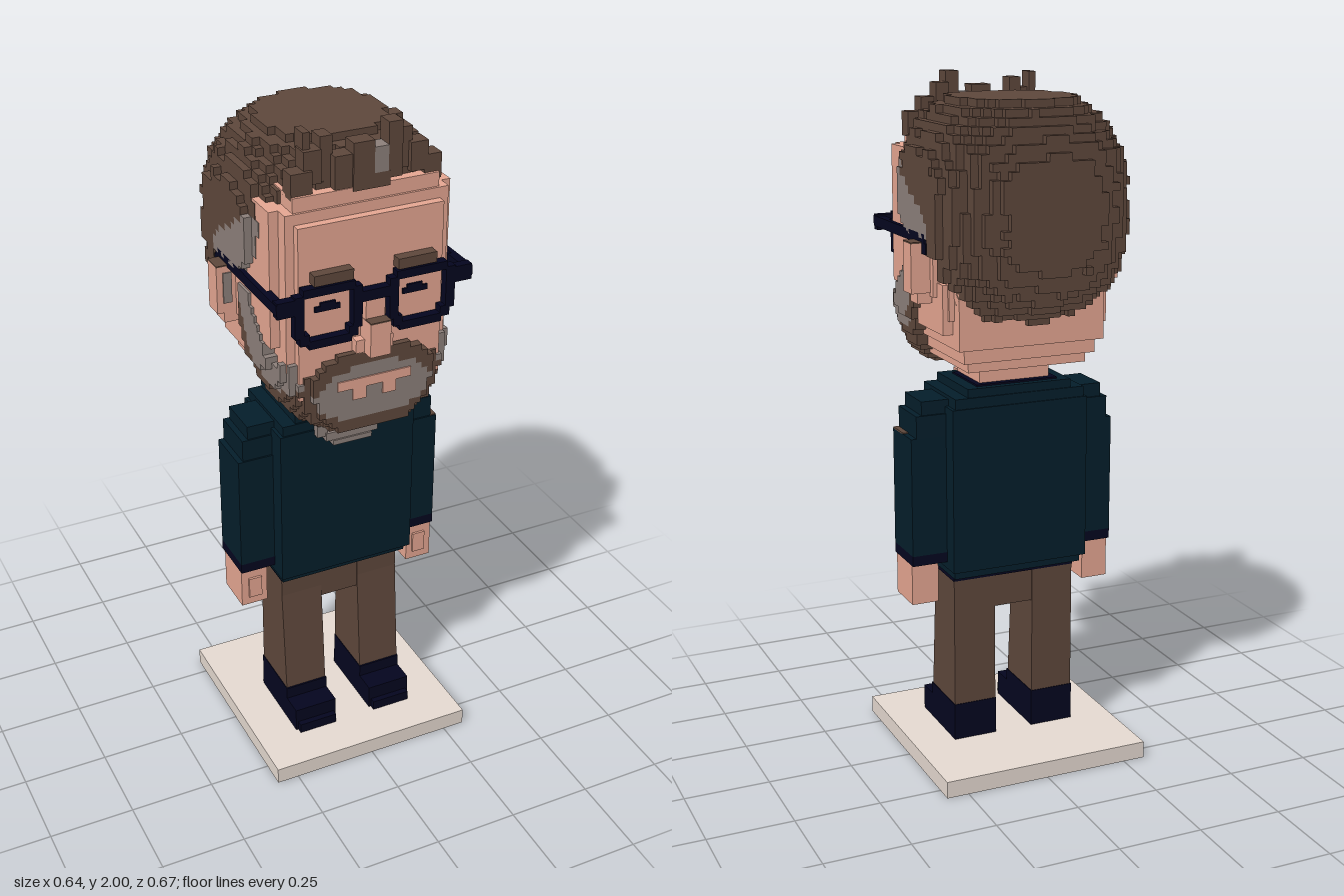
import * as THREE from 'three';

const mat = (name, color) => {
  const m = new THREE.MeshStandardMaterial({ color });
  m.name = name;
  return m;
};

export function createModel() {
  const skin = mat('skin', 0xecab96), hair = mat('brown hair', 0x5f483c), grey = mat('grey hair', 0x8e817c);
  const trousers = mat('brown trousers', 0x5f483c), wool = mat('dark teal wool', 0x041e2b);
  const navy = mat('navy', 0x04051f), stone = mat('pale stone', 0xe8dcd3);
  const model = new THREE.Group();
  model.name = 'figure';

  const group = (name) => {
    const g = new THREE.Group();
    g.name = name;
    model.add(g);
    return g;
  };
  const add = (parent, name, geo, material) => {
    const m = new THREE.Mesh(geo, material);
    m.name = name;
    parent.add(m);
    return m;
  };
  // box given by its limits on each axis
  const box = (parent, name, material, x0, x1, y0, y1, z0, z1) =>
    add(parent, name, new THREE.BoxGeometry(x1 - x0, y1 - y0, z1 - z0)
      .translate((x0 + x1) / 2, (y0 + y1) / 2, (z0 + z1) / 2), material);
  const wide = (parent, name, material, w, ...r) => box(parent, name, material, -w, w, ...r);
  const pair = (parent, name, material, x0, x1, ...r) => {
    box(parent, name + 'Left', material, x0, x1, ...r);
    box(parent, name + 'Right', material, -x1, -x0, ...r);
  };

  // stepped block surface: pick(x, y, z) gives a material or null
  const blocks = (parent, name, min, max, cell, pick) => {
    const n = min.map((v, i) => Math.round((max[i] - v) / cell));
    const at = (i) => pick(...i.map((k, a) => min[a] + (k + 0.5) * cell));
    const faces = new Map();
    for (let i = 0; i < n[0]; i++) for (let j = 0; j < n[1]; j++) for (let k = 0; k < n[2]; k++) {
      const id = [i, j, k], m = at(id);
      if (!m) continue;
      if (!faces.has(m)) faces.set(m, []);
      for (let a = 0; a < 3; a++) for (const s of [1, -1]) {
        const next = [...id];
        next[a] += s;
        if (next[a] >= 0 && next[a] < n[a] && at(next)) continue;
        const q = [[0, 0], [1, 0], [1, 1], [0, 1]].map(([u, v]) => {
          const p = [...id];
          p[a] += s > 0 ? 1 : 0;
          p[(a + 1) % 3] += u;
          p[(a + 2) % 3] += v;
          return p.map((c, d) => min[d] + c * cell);
        });
        if (s < 0) q.reverse();
        for (const c of [0, 1, 2, 0, 2, 3]) faces.get(m).push(...q[c]);
      }
    }
    for (const [m, list] of faces) {
      const geo = new THREE.BufferGeometry();
      geo.setAttribute('position', new THREE.Float32BufferAttribute(list, 3));
      geo.computeVertexNormals();
      add(parent, name + ' ' + m.name, geo, m);
    }
  };
  // straight-line interpolation through [t, value] points
  const along = (pts, t) => {
    for (let i = 1; i < pts.length; i++) if (t <= pts[i][0]) {
      const [a, b] = [pts[i - 1], pts[i]];
      return a[1] + (b[1] - a[1]) * Math.max(0, (t - a[0]) / (b[0] - a[0]));
    }
    return pts[pts.length - 1][1];
  };

  // base
  wide(model, 'base', stone, 0.316, 0.005, 0.055, -0.303, 0.33);

  // legs, widening towards the front at the ankle
  const legs = group('legs');
  const side = new THREE.Shape([[-0.058, 0.15], [0.12, 0.15], [0.092, 0.5], [0.092, 0.56], [-0.058, 0.56]]
    .map((p) => new THREE.Vector2(...p)));
  const legGeo = new THREE.ExtrudeGeometry(side, { depth: 0.13, bevelEnabled: false }).rotateY(-Math.PI / 2);
  add(legs, 'legLeft', legGeo, trousers).position.x = 0.19;
  add(legs, 'legRight', legGeo, trousers).position.x = -0.06;
  wide(legs, 'hips', trousers, 0.188, 0.46, 0.57, -0.056, 0.09);
  wide(legs, 'belt', navy, 0.192, 0.557, 0.575, -0.06, 0.095);
  pair(legs, 'shoe', navy, 0.058, 0.192, 0.055, 0.167, -0.06, 0.124);
  pair(legs, 'shoeToe', navy, 0.058, 0.192, 0.055, 0.13, 0.12, 0.19);
  pair(legs, 'shoeTip', navy, 0.065, 0.185, 0.055, 0.085, 0.19, 0.208);

  // jumper
  const jumper = group('jumper');
  wide(jumper, 'body', wool, 0.21, 0.6, 1.085, -0.108, 0.145);
  wide(jumper, 'hem', wool, 0.2, 0.575, 0.6, -0.09, 0.125);
  wide(jumper, 'shoulders', wool, 0.2, 1.085, 1.115, -0.104, 0.14);
  wide(jumper, 'collar', wool, 0.16, 1.115, 1.14, -0.1, 0.135);
  wide(jumper, 'collarLining', navy, 0.125, 1.13, 1.145, -0.08, 0.1);
  pair(jumper, 'sleeve', wool, 0.2, 0.316, 0.65, 1.0, -0.056, 0.09);
  pair(jumper, 'upperSleeve', wool, 0.2, 0.3, 1.0, 1.065, -0.056, 0.085);
  pair(jumper, 'sleeveTop', wool, 0.2, 0.282, 1.065, 1.105, -0.05, 0.08);
  pair(jumper, 'cuff', navy, 0.21, 0.316, 0.62, 0.65, -0.056, 0.09);
  box(jumper, 'sleeveTrim', hair, 0.298, 0.316, 0.998, 1.003, 0.01, 0.088);

  // hands
  const hands = group('hands');
  pair(hands, 'hand', skin, 0.233, 0.314, 0.498, 0.62, -0.042, 0.082);
  pair(hands, 'thumb', skin, 0.252, 0.292, 0.525, 0.59, 0.08, 0.089);

  // neck and open neckline
  const neck = group('neck');
  wide(neck, 'neck', skin, 0.108, 1.08, 1.21, -0.06, 0.105);
  wide(neck, 'neckline', skin, 0.1, 1.075, 1.145, 0.09, 0.155);
  pair(neck, 'chestHairEdge', grey, 0.075, 0.105, 1.07, 1.105, 0.13, 0.165);
  wide(neck, 'chestHair', grey, 0.08, 1.055, 1.08, 0.13, 0.17);
  wide(neck, 'chestHairLower', grey, 0.06, 1.04, 1.055, 0.13, 0.175);

  // head: stepped slabs of half width, bottom, top, back, front
  const head = group('head');
  [[0.21, 1.27, 1.77, -0.15, 0.274], [0.235, 1.35, 1.8, -0.15, 0.25], [0.262, 1.41, 1.8, -0.1, 0.21],
    [0.21, 1.77, 1.84, -0.1, 0.243], [0.18, 1.2, 1.26, -0.15, 0.15], [0.2, 1.23, 1.45, -0.17, 0.13],
    [0.22, 1.27, 1.43, -0.185, 0.1], [0.25, 1.31, 1.45, -0.14, 0.05]]
    .forEach((s, i) => wide(head, 'headSlab' + (i + 1), skin, ...s));
  wide(head, 'nose', skin, 0.03, 1.39, 1.487, 0.26, 0.335);
  wide(head, 'noseShade', hair, 0.03, 1.487, 1.491, 0.303, 0.335);
  wide(head, 'noseBridge', skin, 0.028, 1.487, 1.56, 0.26, 0.302);
  pair(head, 'nostril', skin, 0.03, 0.055, 1.39, 1.43, 0.26, 0.3);
  pair(head, 'ear', skin, 0.255, 0.318, 1.42, 1.558, -0.08, -0.02);
  pair(head, 'earTop', hair, 0.262, 0.318, 1.558, 1.562, -0.08, -0.02);
  pair(head, 'earLobe', skin, 0.255, 0.298, 1.39, 1.42, -0.075, -0.02);
  pair(head, 'earHollow', grey, 0.275, 0.3, 1.45, 1.54, -0.021, -0.016);
  pair(head, 'eyebrow', hair, 0.065, 0.178, 1.615, 1.645, 0.26, 0.304);
  pair(head, 'eye', navy, 0.092, 0.165, 1.528, 1.543, 0.272, 0.28);
  pair(head, 'eyelid', navy, 0.105, 0.15, 1.543, 1.553, 0.272, 0.28);

  // hair: rounded, slightly ragged block cut back along the hairline
  const hairline = [[1.34, -0.18], [1.5, -0.14], [1.57, -0.1], [1.575, 0.05], [1.66, 0.13], [1.75, 0.15],
    [1.83, 0.19], [1.9, 0.25]];
  const pow = (v, r) => Math.abs(v / r) ** 2.45;
  const ragged = (x, y, z) => {
    const s = Math.sin(Math.round(x * 30) * 12.9 + Math.round(y * 25) * 78.2 + Math.round(z * 30) * 37.7) * 43758.5;
    return (s - Math.floor(s) - 0.4) * 0.1;
  };
  blocks(head, 'hair', [-0.286, 1.33, -0.335], [0.286, 1.955, 0.24], 0.022, (x, y, z) => {
    const edge = 1 + (y < 1.92 ? ragged(x, y, z) : 0);
    if (pow(x, 0.298) + pow(y - 1.645, 0.327) + pow(z + 0.04, 0.307) > edge) return null;
    if (z > along(hairline, y)) return null;
    return Math.abs(x) > 0.2 && z > -0.11 && y < 1.77 - (0.14 - z) * 0.6 ? grey : hair;
  });

  // fringe tufts: left edge, right edge, bottom, top, front
  [[-0.21, -0.15, 1.83, 1.9, 0.235], [-0.17, -0.12, 1.86, 1.95, 0.225], [-0.165, -0.145, 1.94, 1.995, 0.21],
    [-0.12, -0.085, 1.86, 1.98, 0.215], [-0.09, -0.03, 1.84, 1.93, 0.24], [-0.04, 0.02, 1.83, 1.96, 0.246],
    [0.015, 0.065, 1.83, 1.87, 0.246], [0.06, 0.1, 1.85, 2.0, 0.245], [0.1, 0.14, 1.86, 1.97, 0.22],
    [0.13, 0.18, 1.85, 1.93, 0.235], [0.17, 0.22, 1.82, 1.89, 0.235]]
    .forEach(([x0, x1, y0, y1, z], i) => box(head, 'tuft' + (i + 1), hair, x0, x1, y0, y1, z - 0.05, z));
  box(head, 'greyTuft', grey, 0.02, 0.06, 1.87, 1.94, 0.2, 0.246);

  // beard: shell round the jaw, running up to the ears
  const width = [[1.16, 0.13], [1.2, 0.205], [1.25, 0.235], [1.31, 0.26], [1.4, 0.274]];
  const lower = [[0.01, 1.41], [0.06, 1.32], [0.12, 1.22], [0.2, 1.16]];
  const upper = [[0.02, 1.52], [0.07, 1.52], [0.2, 1.36], [0.25, 1.37], [0.29, 1.395]];
  blocks(head, 'beard', [-0.27, 1.16, 0.012], [0.27, 1.52, 0.3], 0.018, (x, y, z) => {
    const w = Math.abs(x);
    if ((w / along(width, y)) ** 5 + (z / 0.302) ** 5 > 1) return null;
    if (y < along(lower, z) || y > along(upper, z)) return null;
    if (z > 0.27 && y > 1.395 - Math.max(0, w - 0.1) * 0.7) return null;
    if (w < 0.19 && z > 0.23) return (x / 0.172) ** 2 + ((y - 1.272) / 0.085) ** 2 < 1 ? grey : hair;
    return y > along(lower, z) + 0.07 + Math.max(0, z - 0.1) * 0.4 ? grey : hair;
  });
  wide(head, 'upperLip', skin, 0.11, 1.29, 1.318, 0.27, 0.304);
  pair(head, 'lowerLip', skin, 0.025, 0.065, 1.255, 1.29, 0.27, 0.304);

  // glasses
  const glasses = group('glasses');
  pair(glasses, 'rimTop', navy, 0.06, 0.21, 1.588, 1.612, 0.28, 0.306);
  pair(glasses, 'rimBottom', navy, 0.07, 0.195, 1.438, 1.462, 0.28, 0.306);
  pair(glasses, 'rimInner', navy, 0.04, 0.066, 1.475, 1.595, 0.28, 0.306);
  pair(glasses, 'rimOuter', navy, 0.207, 0.234, 1.475, 1.595, 0.28, 0.306);
  pair(glasses, 'rimInnerCorner', navy, 0.052, 0.078, 1.452, 1.482, 0.28, 0.306);
  pair(glasses, 'rimOuterCorner', navy, 0.192, 0.22, 1.452, 1.482, 0.28, 0.306);
  wide(glasses, 'bridge', navy, 0.05, 1.545, 1.575, 0.28, 0.306);
  pair(glasses, 'hinge', navy, 0.23, 0.284, 1.545, 1.59, 0.28, 0.306);
  pair(glasses, 'hingeBlock', navy, 0.26, 0.285, 1.555, 1.585, 0.215, 0.3);
  pair(glasses, 'arm', navy, 0.272, 0.286, 1.555, 1.585, -0.1, 0.306);
  pair(glasses, 'armTip', navy, 0.27, 0.286, 1.53, 1.56, -0.11, -0.08);

  return model;
}
